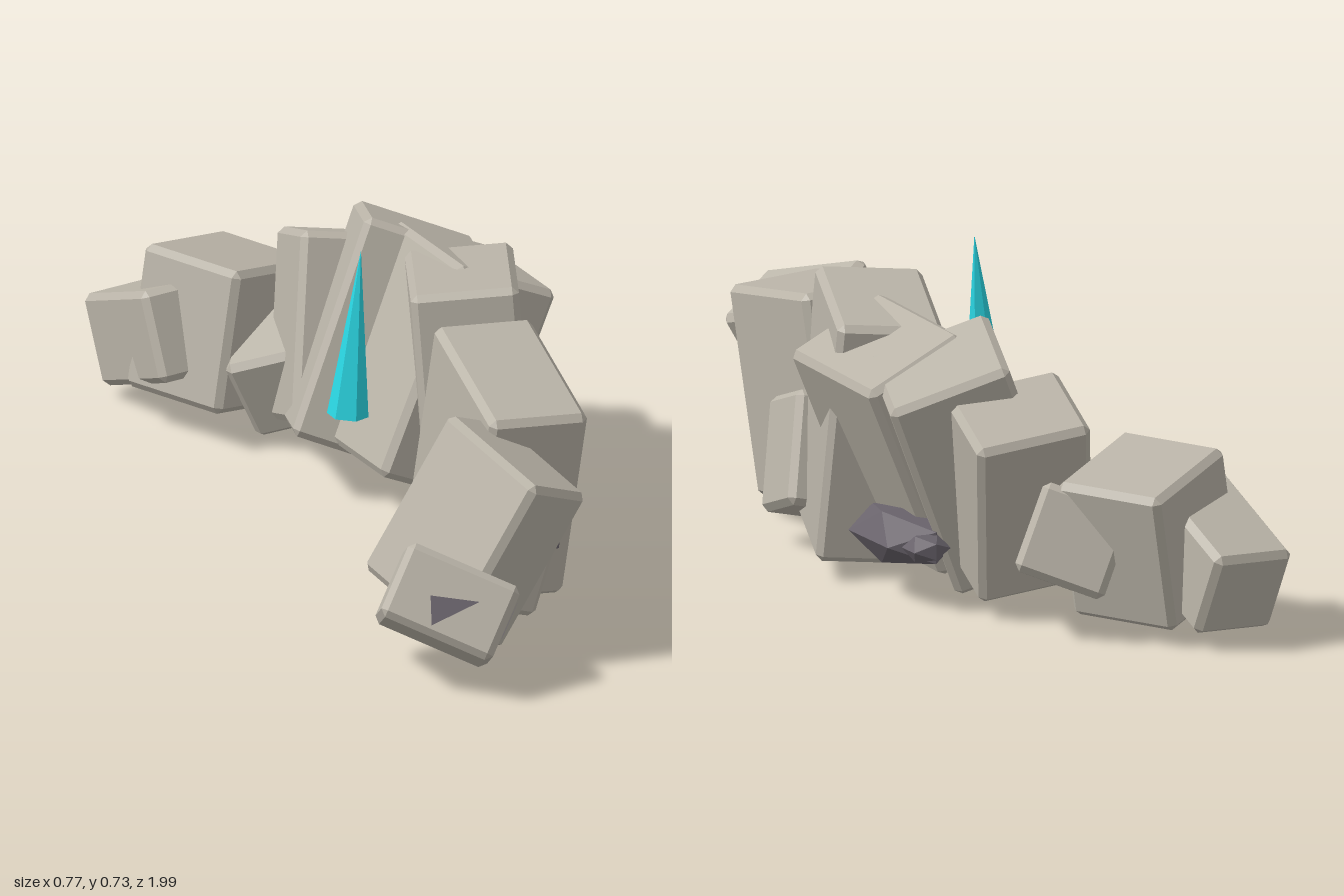
import * as THREE from 'three';
import { ConvexGeometry } from 'three/addons/geometries/ConvexGeometry.js';

const V = (p) => new THREE.Vector3(...p);

const stone = new THREE.MeshStandardMaterial({ color: 0xbab4a8 });
stone.name = 'stone';
const darkStone = new THREE.MeshStandardMaterial({ color: 0x69636b, side: THREE.DoubleSide });
darkStone.name = 'dark stone';
const crystal = new THREE.MeshStandardMaterial({ color: 0x2ad6e3 });
crystal.name = 'crystal';

// Square frame from a corner's two edges; the third edge always runs downward
function frame([corner, a, b, depth]) {
  const u = V(a), n = u.clone().normalize();
  const v = V(b);
  v.addScaledVector(n, -v.dot(n)).setLength(V(b).length());
  const w = new THREE.Vector3().crossVectors(u, v);
  if (w.y > 0) w.negate();
  return { corner: V(corner), u, v, w: w.setLength(depth) };
}

// Chamfered stone block around the frame, slightly padded so the chamfers meet its corners
function block(name, spec, bevel = 0.015, pad = 0.006) {
  const { corner, u, v, w } = frame(spec);
  const edges = [u, v, w];
  const points = [];
  for (let i = 0; i < 8; i++) {
    for (let flat = 0; flat < 3; flat++) {
      const p = new THREE.Vector3();
      edges.forEach((e, k) => {
        const half = e.length() / 2 + pad - (k === flat ? 0 : bevel);
        p.addScaledVector(e.clone().normalize(), (i >> k) & 1 ? half : -half);
      });
      points.push(p);
    }
  }
  const mesh = new THREE.Mesh(new ConvexGeometry(points), stone);
  mesh.name = name;
  mesh.position.copy(corner);
  edges.forEach((e) => mesh.position.addScaledVector(e, 0.5));
  return mesh;
}

// Flat convex plate through a few points
function plate(name, points) {
  const tris = [];
  for (let i = 1; i < points.length - 1; i++) tris.push(points[0], points[i], points[i + 1]);
  const geometry = new THREE.BufferGeometry().setFromPoints(tris);
  geometry.computeVertexNormals();
  const mesh = new THREE.Mesh(geometry, darkStone);
  mesh.name = name;
  return mesh;
}

export function createModel() {
  const model = new THREE.Group();
  model.name = 'stoneCreature';

  // Each block: corner, first edge, second edge, depth
  const head = [[-0.185, 0.105, 1.0], [-0.205, 0.097, -0.128], [0.08, 0.14, -0.05], 0.25];
  const blocks = {
    head,
    neck: [[-0.03, 0.45, 0.895], [-0.085, 0.08, -0.28], [0.155, -0.075, -0.065], 0.4],
    shoulder: [[0.195, 0.495, 0.67], [0.03, 0.075, -0.39], [-0.22, 0.015, -0.02], 0.47],
    chest: [[0.2, 0.64, 0.265], [0.13, -0.045, -0.335], [-0.22, -0.015, -0.07], 0.56],
    back: [[0.383, 0.515, 0.06], [-0.015, -0.02, -0.335], [-0.23, 0.105, 0.01], 0.5],
    hip: [[0.295, 0.54, -0.14], [0.075, -0.065, -0.235], [-0.245, 0.1, -0.07], 0.51],
    rump: [[0.265, 0.42, -0.59], [-0.25, 0.035, -0.05], [-0.03, 0.08, 0.21], 0.42],
    tailBase: [[0.11, 0.345, -0.67], [-0.24, 0.06, 0.125], [-0.125, 0.0, -0.23], 0.32],
    rearFoot: [[0.135, 0.35, -0.66], [-0.155, -0.065, -0.11], [-0.15, -0.085, 0.27], 0.2],
    tail: [[-0.12, 0.215, -0.995], [-0.19, -0.01, 0.01], [0.0, 0.13, 0.31], 0.2],
    sideFoot: [[0.228, 0.3, 0.425], [0.065, -0.23, -0.075], [0.02, 0.065, -0.165], 0.2],
    frontFoot: [[0.115, 0.275, 0.72], [-0.16, 0.05, 0.0], [-0.05, 0.02, -0.27], 0.23],
  };
  for (const [name, spec] of Object.entries(blocks)) model.add(block(name, spec));

  // Eyes lie just above two faces of the head
  const { corner, u, v, w } = frame(head);
  const onHead = (s, t, d) =>
    corner.clone().addScaledVector(u, s).addScaledVector(v, t).addScaledVector(w, d);
  model.add(plate('frontEye', [[0.68, 0.46], [0.27, 0.64], [0.57, 0.1]].map(([s, t]) => onHead(s, t, -0.035))));
  model.add(plate('sideEye', [[0.29, 0.18], [0.82, 0.06], [0.86, 0.14], [0.42, 0.36]].map(([t, d]) => onHead(-0.036, t, d))));

  // Slate chip on the front foot
  const chip = new THREE.Mesh(new THREE.BoxGeometry(0.035, 0.085, 0.02), darkStone);
  chip.name = 'footChip';
  chip.position.set(0.122, 0.222, 0.645);
  chip.rotation.set(0, 0.2, -0.12);
  model.add(chip);

  // Dark faceted rocks under the flank
  const rocks = [
    [[0.235, 0.135, -0.19], [0.11, 0.07, 0.17]],
    [[0.255, 0.137, -0.325], [0.055, 0.035, 0.055]],
  ];
  for (const [position, scale] of rocks) {
    const geometry = new THREE.IcosahedronGeometry(1, 0).scale(...scale);
    geometry.computeVertexNormals();
    const rock = new THREE.Mesh(geometry, darkStone);
    rock.name = 'flankRock';
    rock.position.set(...position);
    model.add(rock);
  }

  // Leaning crystal spike
  const base = new THREE.Vector3(-0.142, 0.33, 0.105);
  const tip = new THREE.Vector3(-0.1, 0.717, 0.083);
  const lean = tip.clone().sub(base);
  const cone = new THREE.ConeGeometry(0.047, lean.length(), 6).toNonIndexed();
  cone.computeVertexNormals();
  const spike = new THREE.Mesh(cone, crystal);
  spike.name = 'crystalSpike';
  spike.position.copy(base).lerp(tip, 0.5);
  spike.quaternion.setFromUnitVectors(new THREE.Vector3(0, 1, 0), lean.normalize());
  model.add(spike);

  return model;
}
